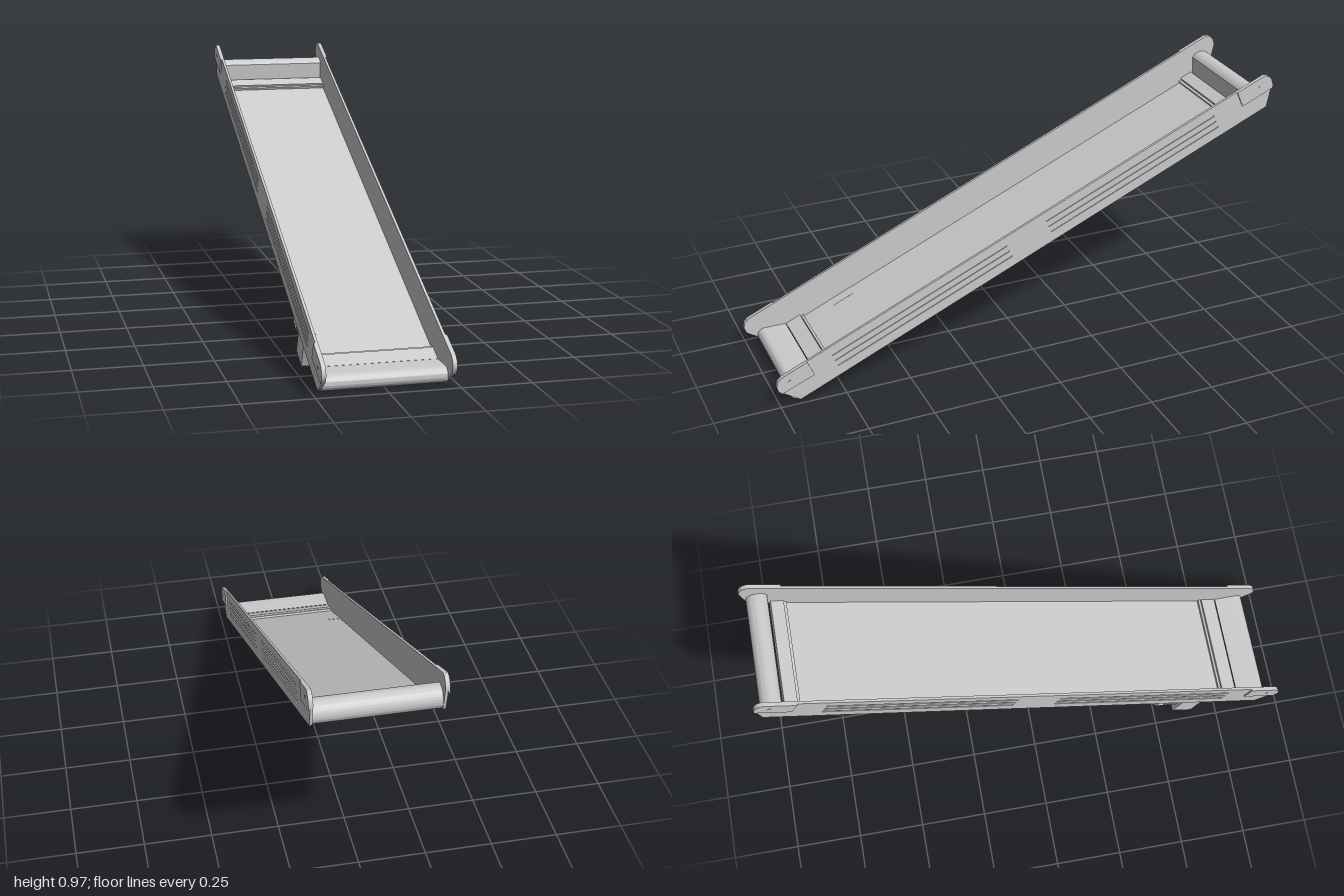
import * as THREE from 'three';
import { toCreasedNormals } from 'three/addons/utils/BufferGeometryUtils.js';

const TILT = 0.4136;          // incline of the conveyor
const WIDTH = 0.436;          // clear width between the side panels
const grey = new THREE.MeshStandardMaterial({ color: 0xcccccc });

export function createModel() {
  const model = new THREE.Group();
  const conveyor = new THREE.Group();
  conveyor.name = 'inclinedConveyor';
  conveyor.position.y = 0.48;
  conveyor.rotation.x = TILT;   // local z runs down the slope, local y is normal to it
  model.add(conveyor);

  const add = (name, geometry, x = 0, y = 0, z = 0, parent = conveyor) => {
    const mesh = new THREE.Mesh(geometry, grey);
    mesh.name = name;
    mesh.position.set(x, y, z);
    parent.add(mesh);
    return mesh;
  };
  // box given by its ranges
  const box = (name, x0, x1, y0, y1, z0, z1) =>
    add(name, new THREE.BoxGeometry(x1 - x0, y1 - y0, z1 - z0), (x0 + x1) / 2, (y0 + y1) / 2, (z0 + z1) / 2);
  // side profile drawn as (z, y), extruded across x and centred
  const across = (shape, width) => {
    const g = new THREE.ExtrudeGeometry(shape, { depth: width, bevelEnabled: false, curveSegments: 16 });
    g.rotateY(-Math.PI / 2).translate(width / 2, 0, 0);
    return toCreasedNormals(g, 0.6);
  };
  const outline = pts => new THREE.Shape(pts.map(p => new THREE.Vector2(...p)));

  // Rounded ends shared by the panels and their end caps
  const lowEnd = [[1.077, 0], [1.085, 0.015], [1.083, 0.036], [1.07, 0.054], [1.05, 0.062]];
  const highEnd = [[-1.075, 0.062], [-1.09, 0.053], [-1.098, 0.036], [-1.097, 0.01]];
  const panelPoints = [[1.033, -0.068], ...lowEnd, ...highEnd, [-1.042, -0.067]];

  // Long grooves: three rows in each half of the panel
  const slot = (z0, z1, y) => {
    const r = 0.0035, p = new THREE.Path();
    p.moveTo(z0, y - r);
    p.lineTo(z1, y - r);
    p.absarc(z1, y, r, -Math.PI / 2, Math.PI / 2, false);
    p.lineTo(z0, y + r);
    p.absarc(z0, y, r, Math.PI / 2, Math.PI * 1.5, false);
    return p;
  };
  const skin = outline(panelPoints);
  for (const [z0, z1] of [[-0.83, -0.08], [0.1, 0.85]])
    for (const y of [0.026, 0, -0.026]) skin.holes.push(slot(z0, z1, y));

  const corePanel = across(outline(panelPoints), 0.006);
  const skinPanel = across(skin, 0.004);
  const lowCap = across(outline([[0.942, 0.062], [0.942, -0.003], ...lowEnd]), 0.007);
  const highCap = across(outline([[-0.952, 0.062], ...highEnd, [-1.09, -0.004], [-0.952, -0.004]]), 0.007);
  const bolt = new THREE.CylinderGeometry(0.006, 0.006, 0.003, 12).rotateZ(Math.PI / 2);
  for (const [side, s] of [['left', 1], ['right', -1]]) {
    add(side + 'PanelCore', corePanel, s * 0.219);
    add(side + 'PanelSkin', skinPanel, s * 0.224);
    add(side + 'LowEndCap', lowCap, s * 0.2285);
    add(side + 'HighEndCap', highCap, s * 0.2285);
    add(side + 'LowBolt', bolt, s * 0.232, 0.03, 1.03);
    add(side + 'HighBolt', bolt, s * 0.232, 0.03, -1.045);
  }

  // Belt bed along the bottom of the panels
  box('beltBed', -WIDTH / 2, WIDTH / 2, -0.068, -0.062, -0.905, 0.87);

  // Crossbars with a thin lip on the bed side
  const h = WIDTH / 2 - 0.002;
  box('lowCrossbar', -h, h, -0.067, -0.047, 0.876, 0.938);
  box('lowCrossbarLip', -h, h, -0.065, -0.053, 0.864, 0.874);
  box('highCrossbar', -h, h, -0.067, -0.046, -0.962, -0.912);
  box('highCrossbarLip', -h, h, -0.065, -0.053, -0.91, -0.9);

  // Belt noses wrapping the end drums
  const lowNose = new THREE.Shape();
  lowNose.moveTo(0.94, -0.065);
  lowNose.absarc(1.029, -0.037, 0.028, -Math.PI / 2, Math.PI * 0.6, false);
  lowNose.lineTo(0.94, -0.046);
  add('lowBeltNose', across(lowNose, WIDTH));
  const highNose = new THREE.Shape();
  highNose.moveTo(-0.964, -0.046);
  highNose.absarc(-1.016, -0.025, 0.043, Math.PI * 0.3, Math.PI * 1.5, false);
  highNose.lineTo(-0.964, -0.067);
  add('highBeltNose', across(highNose, WIDTH));

  // Drive unit under the right-hand edge
  box('driveMount', -0.217, -0.17, -0.075, -0.0612, 0.66, 0.75);
  box('gearbox', -0.22, -0.17, -0.172, -0.068, 0.7, 0.785);
  const shaft = (r, len) => new THREE.CylinderGeometry(r, r, len, 24).rotateZ(Math.PI / 2);
  add('gearboxFlange', shaft(0.026, 0.012), -0.164, -0.132, 0.748);
  add('outputShaft', shaft(0.015, 0.035), -0.152, -0.132, 0.748);
  const barrel = (r, len) => new THREE.CylinderGeometry(r, r, len, 24).rotateX(Math.PI / 2);
  add('motorBody', barrel(0.023, 0.09), -0.185, -0.117, 0.655);
  for (let i = 0; i < 4; i++) add('motorRib', barrel(0.029, 0.006), -0.185, -0.117, 0.645 + i * 0.014);
  add('motorFanCover', barrel(0.031, 0.026), -0.185, -0.117, 0.615);
  box('terminalBox', -0.162, -0.14, -0.135, -0.1, 0.635, 0.675);

  return model;
}
